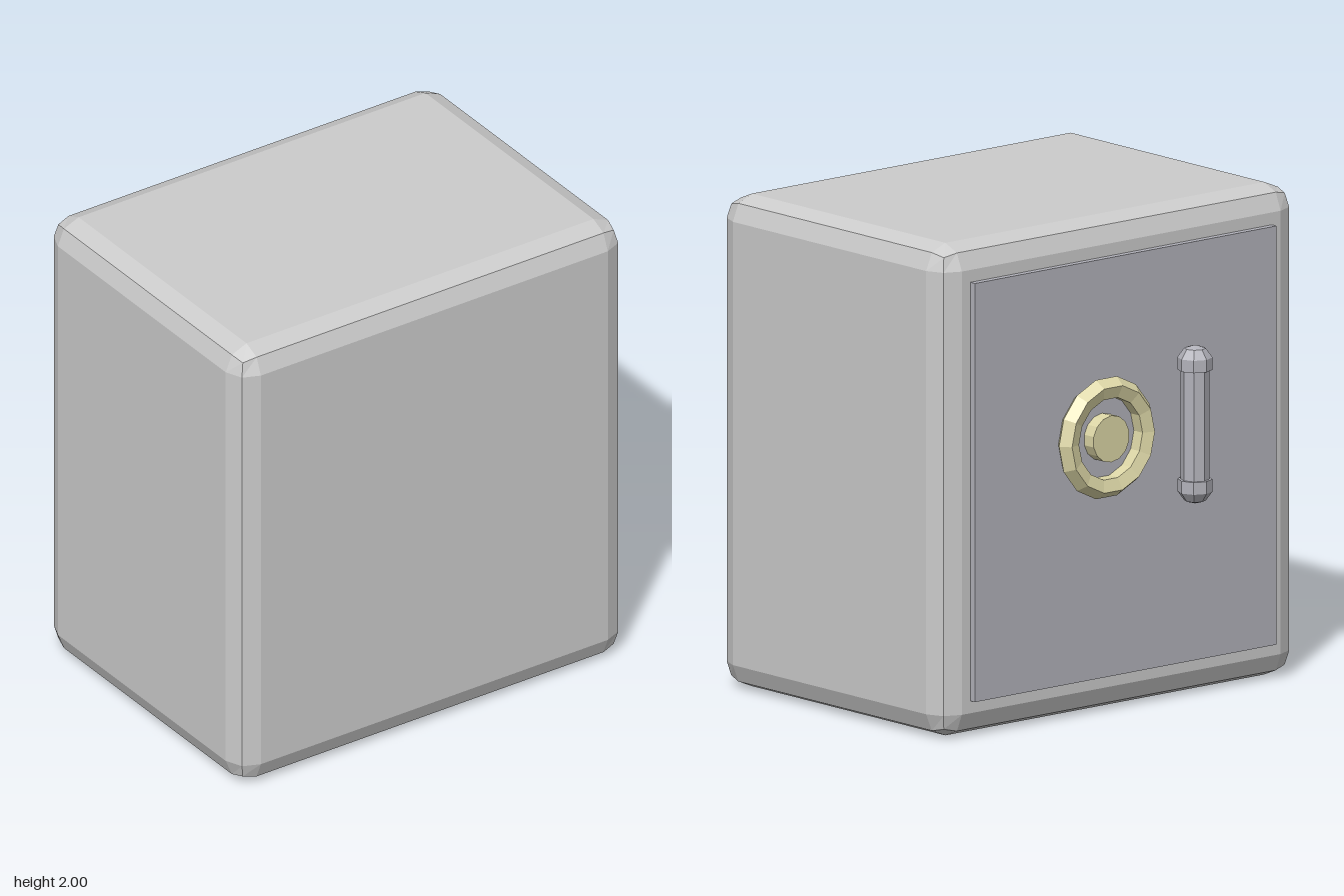
import * as THREE from 'three';
import { RoundedBoxGeometry } from 'three/addons/geometries/RoundedBoxGeometry.js';

export function createModel() {
  const model = new THREE.Group();
  const material = (color) => new THREE.MeshStandardMaterial({ color, flatShading: true });
  const grey = material(0xcccccc);
  const steel = material(0xb2b2ba);
  const brass = material(0xdcd6a6);

  const add = (parent, name, geometry, mat, x, y, z) => {
    const mesh = new THREE.Mesh(geometry, mat);
    mesh.name = name;
    mesh.position.set(x, y, z);
    parent.add(mesh);
    return mesh;
  };

  // Safe body with bevelled edges, and the door plate on its back
  add(model, 'body', new RoundedBoxGeometry(1.87, 2, 1.37, 1, 0.1), grey, 0, 1, 0.085);
  add(model, 'door', new THREE.BoxGeometry(1.58, 1.7, 0.06), steel, 0, 1, -0.598);

  // Dial: a faceted ring around a hub
  const dial = new THREE.Group();
  dial.name = 'dial';
  dial.position.set(0.125, 1.13, -0.655);
  add(dial, 'dialRing', new THREE.TorusGeometry(0.203, 0.045, 5, 14), brass, 0, 0, 0);
  const hub = new THREE.CylinderGeometry(0.095, 0.095, 0.06, 14).rotateX(Math.PI / 2);
  add(dial, 'dialHub', hub, brass, 0, 0, 0);
  model.add(dial);

  // Handle: an upright bar with a rounded cap at each end
  const handle = new THREE.Group();
  handle.name = 'handle';
  handle.position.set(-0.3, 1.13, -0.7);
  add(handle, 'handleBar', new THREE.CylinderGeometry(0.058, 0.058, 0.48, 8), steel, 0, 0, 0);
  const capProfile = [[0, 0.222], [0.07, 0.222], [0.07, 0.272], [0.043, 0.309], [0, 0.322]]
    .map(([r, y]) => new THREE.Vector2(r, y));
  for (const [name, turn] of [['topCap', 0], ['bottomCap', Math.PI]]) {
    add(handle, name, new THREE.LatheGeometry(capProfile, 8), steel, 0, 0, 0).rotation.x = turn;
  }
  model.add(handle);

  return model;
}
